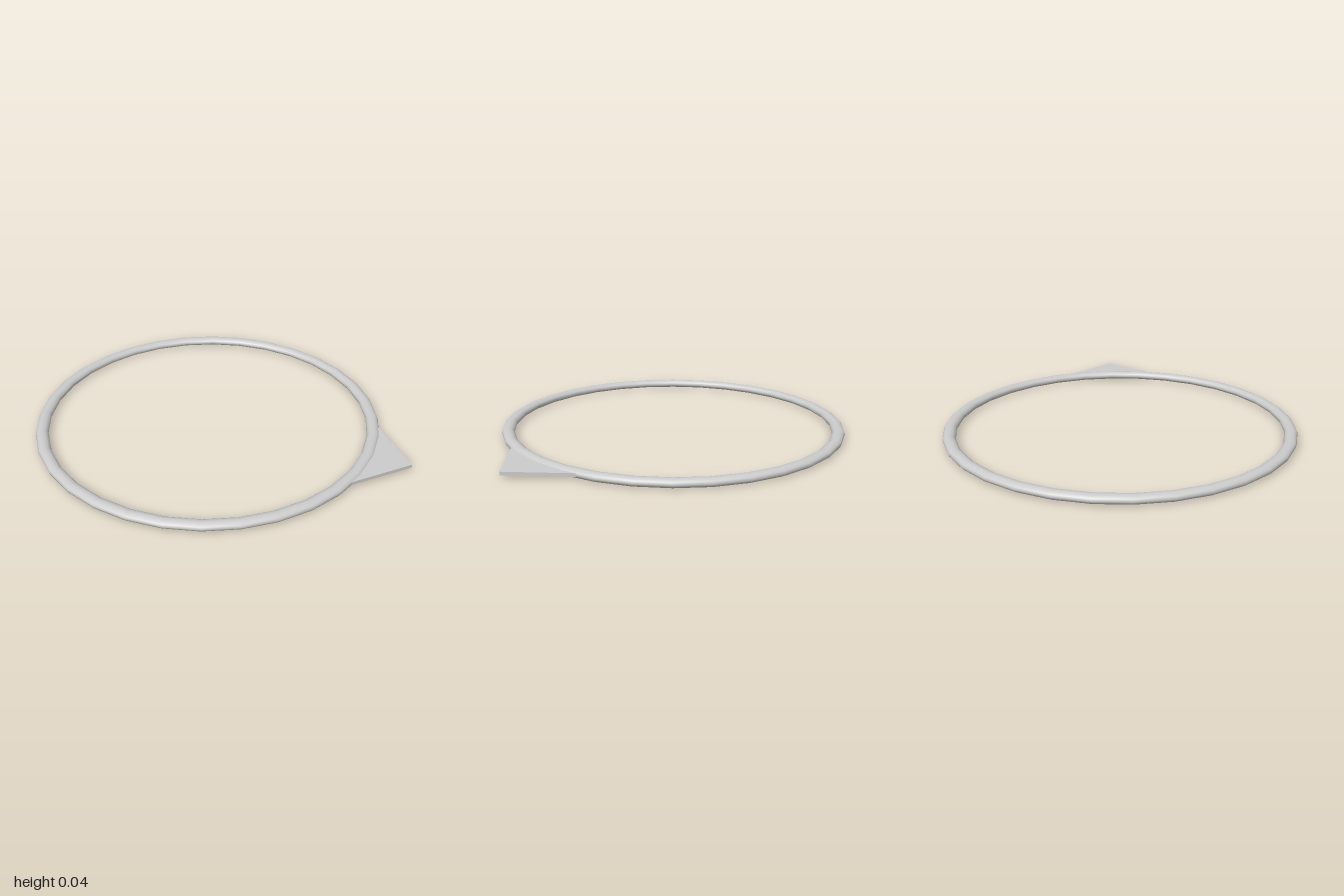
import * as THREE from 'three';

const RING_X = -0.095;  // ring centre, offset so ring and pointer together are centred
const MID_Y = 0.022;    // half the ring's height

export function createModel() {
  const group = new THREE.Group();
  const material = new THREE.MeshStandardMaterial({ color: 0xcccccc });

  // Flattened ring lying on the ground
  const ringGeometry = new THREE.TorusGeometry(0.8725, 0.0325, 12, 32);
  ringGeometry.rotateX(-Math.PI / 2);
  ringGeometry.scale(1, MID_Y / 0.0325, 1);
  const ring = new THREE.Mesh(ringGeometry, material);
  ring.name = 'ring';
  ring.position.set(RING_X, MID_Y, 0);
  group.add(ring);

  // Thin triangular pointer, its base tucked inside the ring
  const outline = new THREE.Shape([
    new THREE.Vector2(0.765, -0.255),
    new THREE.Vector2(1, 0),
    new THREE.Vector2(0.765, 0.255),
  ]);
  const thickness = 0.018;
  const pointerGeometry = new THREE.ExtrudeGeometry(outline, { depth: thickness, bevelEnabled: false });
  pointerGeometry.translate(0, 0, -thickness / 2);
  pointerGeometry.rotateX(-Math.PI / 2);
  const pointer = new THREE.Mesh(pointerGeometry, material);
  pointer.name = 'pointer';
  pointer.position.y = MID_Y;
  group.add(pointer);

  return group;
}
